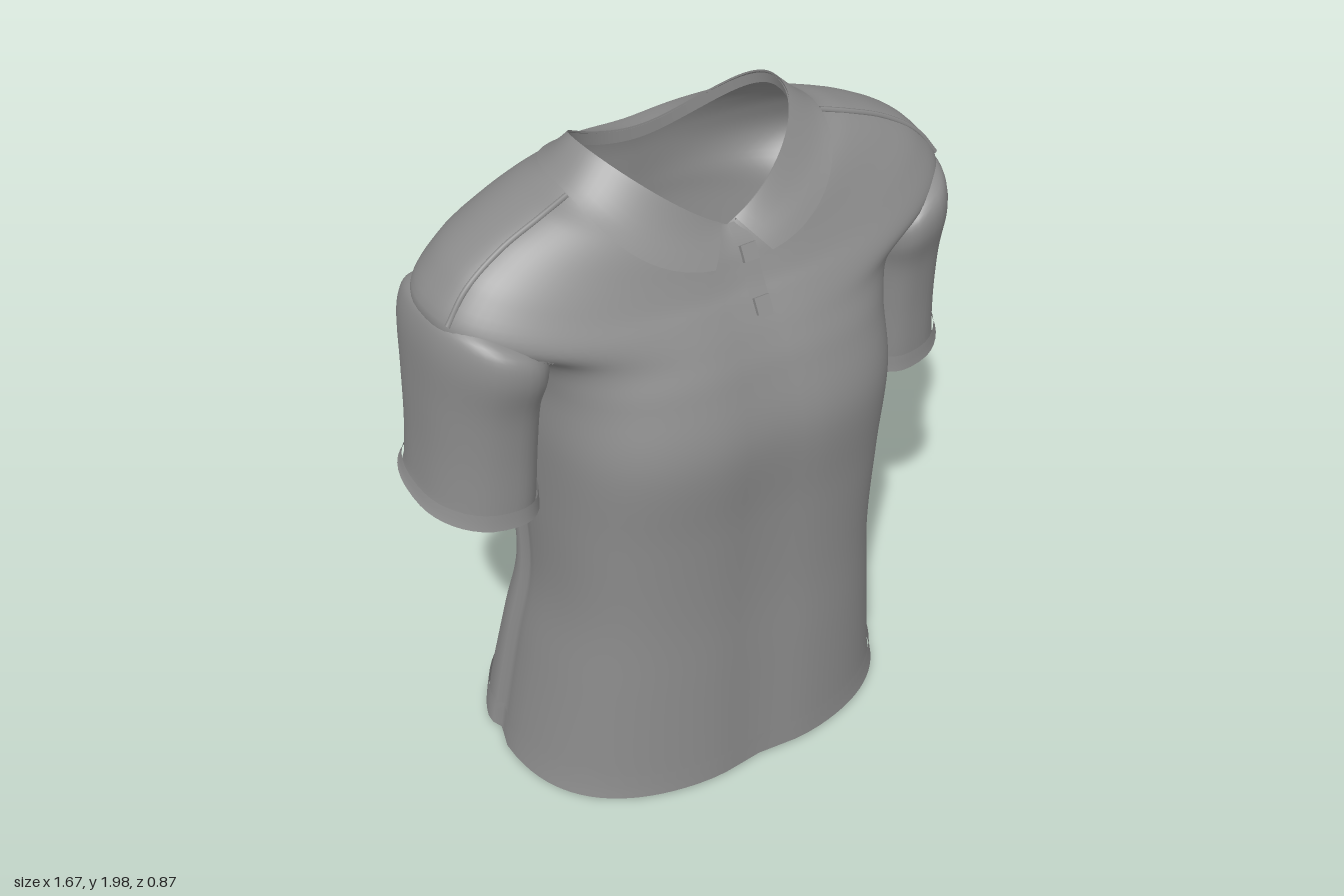
import * as THREE from 'three';

const cloth = new THREE.MeshStandardMaterial({ color: 0x8c8c8c, side: THREE.DoubleSide });
cloth.name = 'grey cloth';

// Body rings, hem to neckline: half width, side y, side z, front y, front z,
// back y, back z, squareness, roundness of the front dip (1 = a V)
const RINGS = [
  [.595, .012, -.05, .025, .405, .06, -.43, 2.6, 2],
  [.58, .11, -.05, .11, .405, .15, -.425, 2.6, 2],
  [.54, .40, -.03, .40, .405, .40, -.342, 2.8, 2],
  [.507, .66, 0, .66, .405, .66, -.27, 3, 2],
  [.512, .95, 0, .95, .42, .95, -.308, 3.1, 2],
  [.522, 1.22, 0, 1.22, .443, 1.22, -.342, 3.1, 2],
  [.525, 1.42, 0, 1.40, .402, 1.45, -.372, 2.9, 2],
  [.585, 1.54, 0, 1.50, .36, 1.55, -.375, 2.6, 2],
  [.77, 1.64, 0, 1.58, .315, 1.64, -.37, 2.45, 2],
  [.71, 1.76, 0, 1.62, .29, 1.70, -.365, 2.3, 2],
  [.60, 1.835, 0, 1.66, .27, 1.75, -.355, 2.2, 1.8],
  [.48, 1.885, 0, 1.70, .25, 1.79, -.34, 2.2, 1.55],
  [.385, 1.915, -.01, 1.735, .225, 1.82, -.315, 2.15, 1.3],
  [.30, 1.99, -.04, 1.76, .20, 1.845, -.23, 2.1, 1.1],
];
const TOP = RINGS.length - 1;

// Smooth interpolation between the rows of a table
function sample(rows, t) {
  const last = rows.length - 1;
  const i = Math.min(Math.max(Math.floor(t), 0), last - 1), f = t - i;
  const row = k => rows[Math.min(Math.max(k, 0), last)];
  return rows[i].map((b, c) => {
    const p = row(i - 1)[c], q = row(i + 1)[c], r = row(i + 2)[c];
    return b + .5 * f * (q - p + f * (2 * p - 5 * b + 4 * q - r + f * (3 * (b - q) + r - p)));
  });
}

const power = (v, e) => Math.sign(v) * Math.abs(v) ** e;

// Point on the body: angle a (0 = left side, PI/2 = front), height t in rings
function bodyPoint(a, t) {
  const [w, ys, zs, yf, zf, yb, zb, n, dip] = sample(RINGS, t);
  const c = Math.cos(a), s = Math.sin(a), front = s > 0;
  // side seam: a shallow groove just behind the widest line, fading at the chest
  const groove = t < 6.5 ? .025 * Math.exp(-(((s + .11) / .07) ** 2)) * Math.min(1, (6.5 - t) / 2) : 0;
  const x = power(c, 2 / n) * (w - groove);
  // shallow hollow along the breastbone and the spine
  const hollow = 1 - .04 * Math.exp(-((x / .1) ** 2));
  const z = zs + (front ? zf - zs : zs - zb) * power(s, 2 / n) * hollow;
  const y = THREE.MathUtils.lerp(front ? yf : yb, ys, Math.abs(c) ** (front ? dip : 2));
  return new THREE.Vector3(x, y, z);
}

function bodyNormal(a, t) {
  const e = .02, t0 = Math.max(t - e, 0), t1 = Math.min(t + e, TOP);
  const da = bodyPoint(a + e, t).sub(bodyPoint(a - e, t));
  const dt = bodyPoint(a, t1).sub(bodyPoint(a, t0));
  return dt.cross(da).normalize();
}

const raised = (a, t, d) => bodyPoint(a, t).addScaledVector(bodyNormal(a, t), d);

// Grid surface from point(u, v), u and v in 0..1; closed joins u = 1 to u = 0;
// cells where open(middle point, v) is true are left out
function surface(name, point, nu, nv, closed, open = () => false) {
  const cols = closed ? nu : nu + 1, pos = [], index = [];
  for (let j = 0; j <= nv; j++)
    for (let i = 0; i < cols; i++) pos.push(...point(i / nu, j / nv).toArray());
  for (let j = 0; j < nv; j++)
    for (let i = 0; i < nu; i++) {
      const v = (j + .5) / nv;
      if (open(point((i + .5) / nu, v), v)) continue;
      const a = j * cols + i, b = j * cols + (i + 1) % cols;
      index.push(a, a + cols, b, b, a + cols, b + cols);
    }
  const g = new THREE.BufferGeometry();
  g.setAttribute('position', new THREE.Float32BufferAttribute(pos, 3));
  g.setIndex(index);
  g.computeVertexNormals();
  const mesh = new THREE.Mesh(g, cloth);
  mesh.name = name;
  return mesh;
}

// Sleeve rings, cuff to armhole: inner x, inner y, outer x, outer y, front z, back z
const SLEEVE = [
  [.53, 1.06, .825, 1.08, .17, -.235],
  [.525, 1.12, .815, 1.13, .175, -.235],
  [.52, 1.26, .805, 1.26, .185, -.24],
  [.515, 1.40, .80, 1.42, .205, -.25],
  [.505, 1.48, .795, 1.57, .24, -.265],
  [.51, 1.53, .777, 1.65, .23, -.245],
  [.55, 1.57, .75, 1.675, .16, -.18],
];

function sleevePoint(side, a, t, d = 0) {
  const [xi, yi, xo, yo, zf, zb] = sample(SLEEVE, t);
  const c = Math.cos(a), s = Math.sin(a);
  const x = (xi + xo) / 2 + ((xo - xi) / 2 + d) * power(c, .85);
  // the front is fuller towards the chest than on the outside
  const taper = s > 0 ? 1 - .18 * c : 1;
  const z = (zf + zb) / 2 + ((zf - zb) / 2 + d) * power(s, .85) * taper;
  const arch = t > 3 ? .02 * s * s * (t - 3) / 2 : 0;
  const slope = t < 2 ? -.06 * z * (2 - t) : 0;
  return new THREE.Vector3(side * x, (yi + yo) / 2 + (yo - yi) / 2 * c + arch + slope, z);
}

export function createModel() {
  const shirt = new THREE.Group();
  shirt.name = 'shortSleevedShirt';
  const TAU = Math.PI * 2;

  // body with open armholes under the shoulders
  const armhole = (p, v) => Math.abs(p.x) > .56 && v * TOP > 6.5 && v * TOP < 7.7;
  shirt.add(surface('body', (u, v) => bodyPoint(u * TAU, v * TOP), 96, 78, true, armhole));
  shirt.add(surface('hemBand', (u, v) => raised(u * TAU, v * .95, .006), 96, 4, true));

  // Collar: runs from one front tip around the back to the other
  const collarPoint = (u, v) => {
    const start = THREE.MathUtils.lerp(1.50, 1.43, v);
    const a = start - u * (TAU - 2 * (Math.PI / 2 - start));
    const front = Math.max(0, Math.sin(a)) ** 2;
    // the pointed tips stand slightly off the chest
    return raised(a, TOP - v * (1 + 1.5 * front), .005 + v * (.002 + .016 * front ** 4));
  };
  shirt.add(surface('collar', collarPoint, 80, 6, false));
  // rolled edge of the collar, turned down inside the neck
  shirt.add(surface('collarLining', (u, v) => {
    const p = collarPoint(u, 0);
    p.x *= 1 + .03 * v;
    p.y -= .04 * v;
    return p;
  }, 80, 3, false));

  // Placket and two square buttons
  const frontAt = (x, y, d) => {
    let lo = 6, hi = TOP;
    for (let i = 0; i < 30; i++) {
      const mid = (lo + hi) / 2;
      if (bodyPoint(Math.PI / 2, mid).y < y) lo = mid; else hi = mid;
    }
    const p = raised(Math.PI / 2, lo, d);
    p.x = x;
    return p;
  };
  shirt.add(surface('placket', (u, v) => frontAt(.055 * u, 1.54 + .22 * v, .006), 2, 10, false));
  for (const y of [1.695, 1.57]) {
    const button = new THREE.Mesh(new THREE.BoxGeometry(.045, .045, .014), cloth);
    button.name = 'button';
    button.position.copy(frontAt(.028, y, .01));
    button.rotation.x = -.5;
    shirt.add(button);
  }

  for (const side of [1, -1]) {
    const label = side > 0 ? 'left' : 'right';
    const top = SLEEVE.length - 1;
    shirt.add(surface(label + 'Sleeve', (u, v) => sleevePoint(side, u * TAU, v * top), 40, 30, true));
    shirt.add(surface(label + 'Cuff', (u, v) =>
      sleevePoint(side, u * TAU, v * .85, .012 - .006 * v), 40, 3, true));
    // raised seam along the shoulder
    const path = [8.3, 9, 10, 11, 11.9].map(t => raised(side > 0 ? .22 : Math.PI - .22, t, .001));
    const seam = new THREE.Mesh(
      new THREE.TubeGeometry(new THREE.CatmullRomCurve3(path), 24, .008, 6), cloth);
    seam.name = label + 'ShoulderSeam';
    shirt.add(seam);
  }
  return shirt;
}
